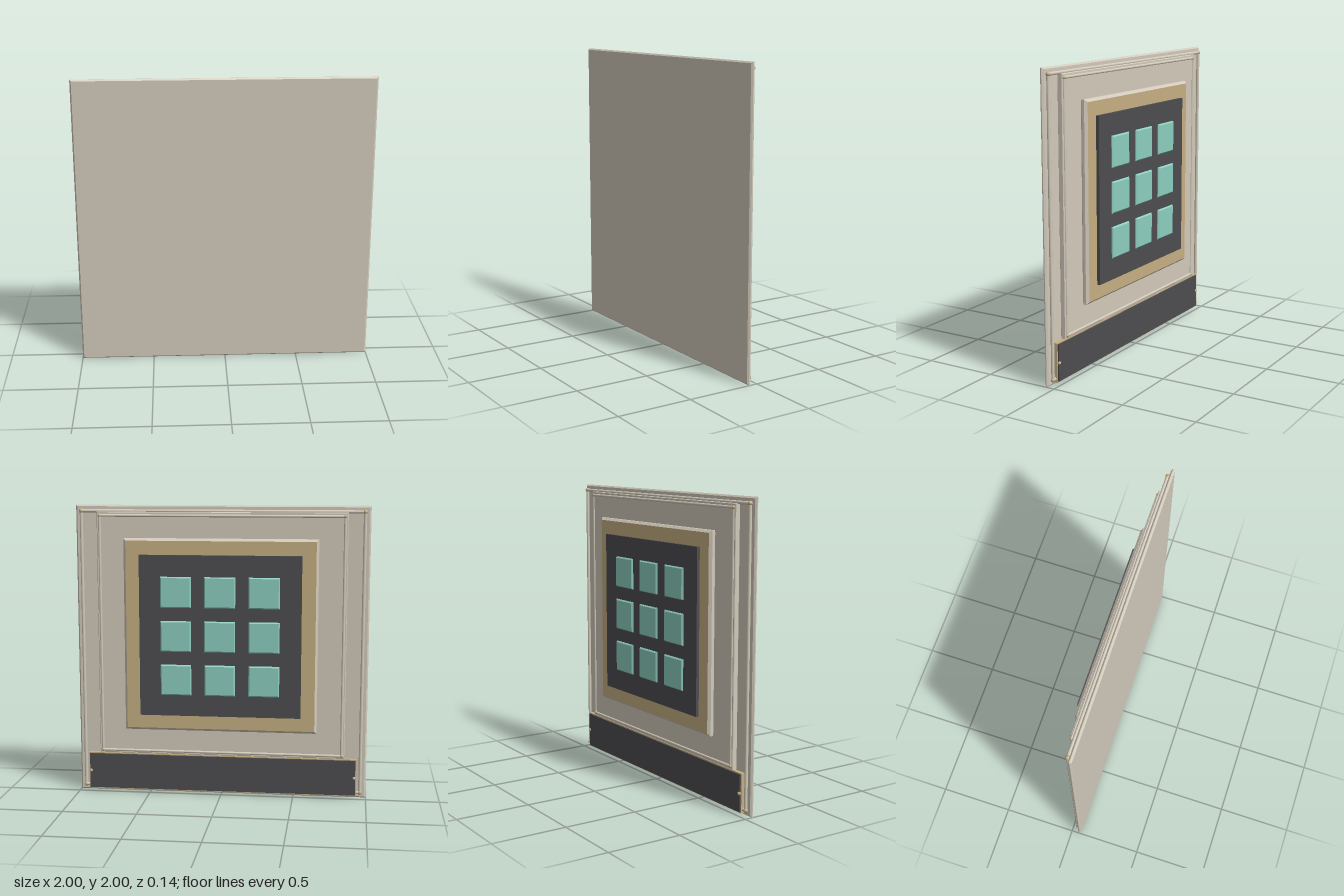
import * as THREE from 'three';

const material = (name, color) => {
  const m = new THREE.MeshStandardMaterial({ color });
  m.name = name;
  return m;
};

export function createModel() {
  const root = new THREE.Group();
  root.name = 'wallPanel';
  const beige = material('beige', 0xd2cabb);
  const tan = material('tan', 0xc6b083);
  const dark = material('charcoal', 0x4d4d50);
  const teal = material('teal', 0x8dcfc0);

  const add = (name, geometry, mat, parent = root) => {
    const mesh = new THREE.Mesh(geometry, mat);
    mesh.name = name;
    parent.add(mesh);
    return mesh;
  };

  // Slab with chamfered edges: x0..x1, y0..y1, z0..z1 are the outer limits
  const slab = (name, x0, x1, y0, y1, z0, z1, bevel, mats) => {
    const shape = new THREE.Shape([
      new THREE.Vector2(x0 + bevel, y0 + bevel), new THREE.Vector2(x1 - bevel, y0 + bevel),
      new THREE.Vector2(x1 - bevel, y1 - bevel), new THREE.Vector2(x0 + bevel, y1 - bevel),
    ]);
    const geometry = new THREE.ExtrudeGeometry(shape, {
      depth: z1 - z0 - 2 * bevel, bevelEnabled: bevel > 0,
      bevelSize: bevel, bevelThickness: bevel, bevelSegments: 1,
    });
    geometry.translate(0, 0, z0 + bevel);
    return add(name, geometry, mats);
  };

  // Rectangle of thin rods with a small ball at each corner
  const rodFrame = (name, x, y0, y1, z, r) => {
    const group = new THREE.Group();
    group.name = name;
    root.add(group);
    for (const side of [-1, 1]) {
      add('uprightRod', new THREE.CylinderGeometry(r, r, y1 - y0, 12), beige, group)
        .position.set(side * x, (y0 + y1) / 2, z);
      const y = side < 0 ? y0 : y1;
      const rail = add('crossRod', new THREE.CylinderGeometry(r, r, 2 * x, 12), beige, group);
      rail.rotation.z = Math.PI / 2;
      rail.position.set(0, y, z);
      for (const end of [-1, 1]) {
        add('cornerBall', new THREE.SphereGeometry(r * 1.4, 12, 8), tan, group)
          .position.set(end * x, y, z);
      }
    }
  };

  // Main plate and the raised panel behind it
  slab('mainPlate', -1, 1, 0, 2, 0.045, 0.07, 0.01, beige);
  rodFrame('outerTrim', 0.96, 0.04, 1.96, 0.034, 0.011);
  slab('raisedPanel', -0.85, 0.85, 0.28, 1.955, 0.01, 0.046, 0.004, beige);
  rodFrame('innerTrim', 0.83, 0.3, 1.93, 0.01, 0.009);

  // Bevelled frame with tan faces, and the dark pad on it
  slab('padFrame', -0.66, 0.66, 0.46, 1.78, -0.038, 0.012, 0.016, [tan, beige]);
  slab('pad', -0.55, 0.55, 0.57, 1.67, -0.059, -0.036, 0, dark);

  // Three by three keys
  for (let row = -1; row <= 1; row++) {
    for (let col = -1; col <= 1; col++) {
      const x = col * 0.3, y = 1.12 + row * 0.3;
      slab('key', x - 0.105, x + 0.105, y - 0.105, y + 0.105, -0.072, -0.05, 0.008, teal);
    }
  }

  // Dark strip along the bottom, on a thin backing with a stud at each end
  slab('stripBacking', -0.935, 0.935, 0.015, 0.275, 0.018, 0.046, 0, tan);
  slab('strip', -0.927, 0.927, 0.023, 0.268, 0.009, 0.019, 0, dark);
  for (const side of [-1, 1]) {
    add('stripStud', new THREE.SphereGeometry(0.012, 12, 8), tan)
      .position.set(side * 0.92, 0.145, 0.012);
  }
  return root;
}
